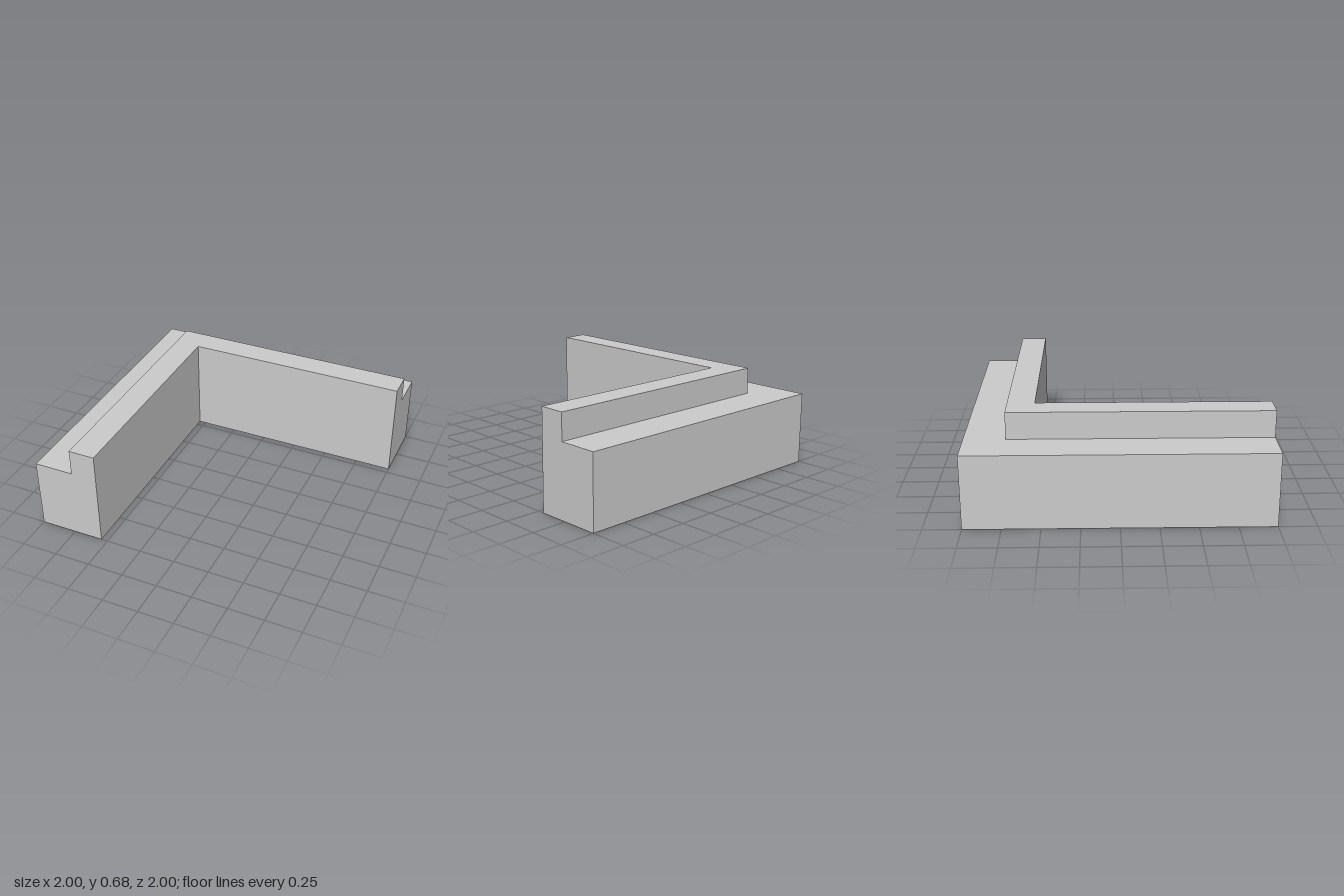
import * as THREE from 'three';

// Stepped wall section: x is the distance across the wall, y is up
const SECTION = [
  [-1, 0], [-0.545, 0], [-0.545, 0.682], [-0.727, 0.682], [-0.727, 0.5], [-1, 0.5],
];

// Sweeps the section along an L with a mitred corner
function mitredCorner(section) {
  const shape = new THREE.Shape(section.map(([x, y]) => new THREE.Vector2(x, y)));
  const geometry = new THREE.ExtrudeGeometry(shape, { depth: 2, steps: 2, bevelEnabled: false });
  const pos = geometry.attributes.position;
  for (let i = 0; i < pos.count; i++) {
    const d = pos.getX(i);
    const station = Math.round(pos.getZ(i)); // 0 = end at +x, 1 = corner, 2 = end at +z
    pos.setX(i, station === 0 ? 1 : d);
    pos.setZ(i, station === 2 ? 1 : d);
  }
  geometry.computeVertexNormals();
  return geometry;
}

export function createModel() {
  const group = new THREE.Group();
  group.name = 'cornerPiece';

  // Two wall legs with an outer ledge and a raised inner lip
  const wall = new THREE.Mesh(
    mitredCorner(SECTION),
    new THREE.MeshStandardMaterial({ color: 0xcccccc, flatShading: true }),
  );
  wall.name = 'steppedCornerWall';
  group.add(wall);
  return group;
}
